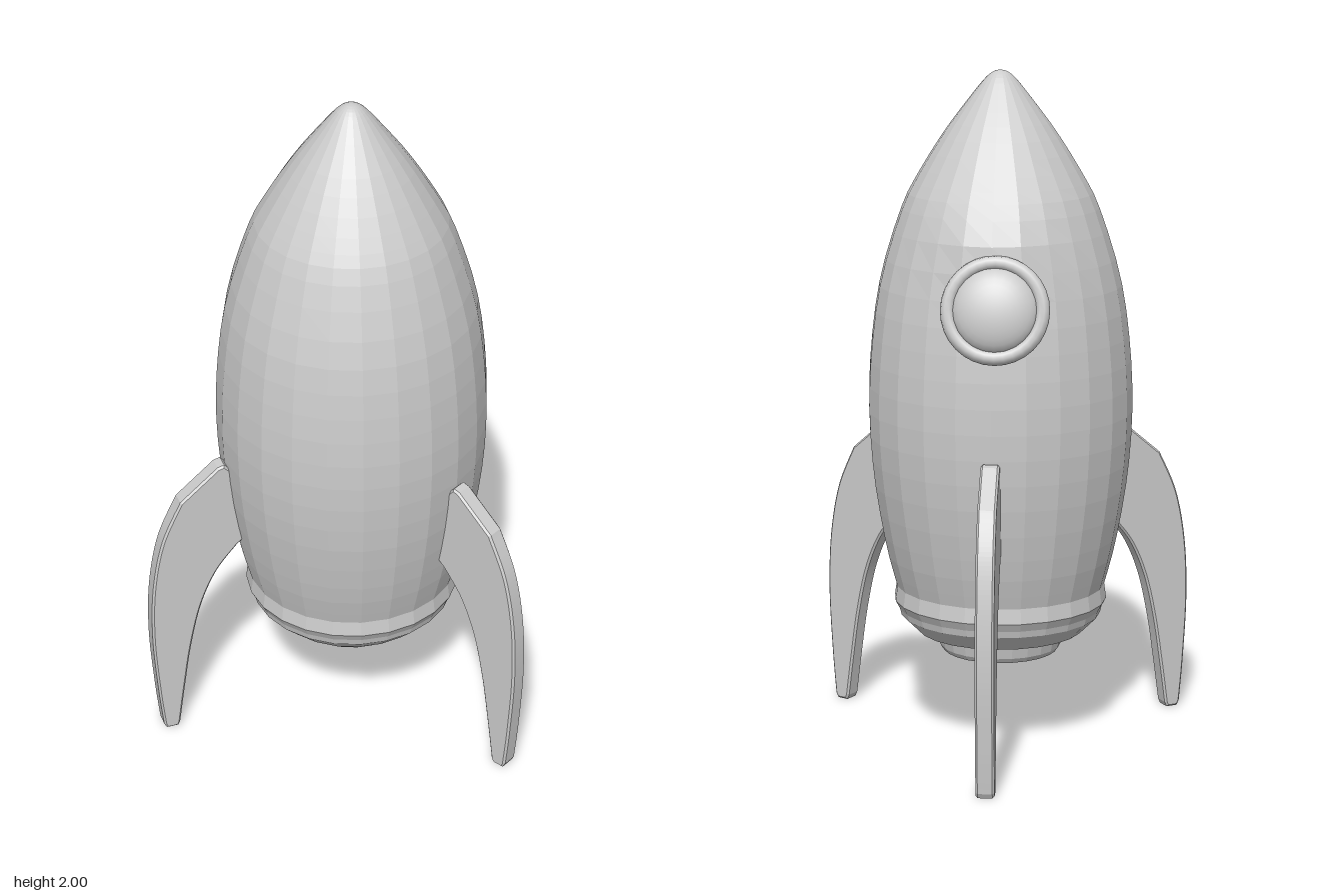
import * as THREE from 'three';

const AXIS_Z = 0.12; // the hull's axis sits forward of the origin
const material = new THREE.MeshStandardMaterial({ color: 0xcccccc, flatShading: true });
const smooth = new THREE.MeshStandardMaterial({ color: 0xcccccc });
const toPoints = (pairs) => pairs.map(([x, y]) => new THREE.Vector2(x, y));

function addMesh(parent, name, geometry, mat = material) {
  const mesh = new THREE.Mesh(geometry, mat);
  mesh.name = name;
  parent.add(mesh);
  return mesh;
}

// Egg-shaped hull with a stepped skirt, swelling a little around the window
function hullGeometry() {
  const skirt = toPoints([[0, 0.33], [0.225, 0.325], [0.25, 0.33], [0.27, 0.35],
    [0.3, 0.38], [0.305, 0.4], [0.318, 0.425]]);
  const curve = new THREE.SplineCurve(toPoints([[0.312, 0.47], [0.345, 0.6], [0.378, 0.8],
    [0.391, 1.0], [0.382, 1.2], [0.352, 1.4], [0.29, 1.6], [0.24, 1.7], [0.165, 1.82],
    [0.09, 1.92], [0.045, 1.975], [0.02, 1.995], [0, 2]]));
  const geometry = new THREE.LatheGeometry([...skirt, ...curve.getPoints(32)], 24);
  const position = geometry.attributes.position;
  const v = new THREE.Vector3();
  for (let i = 0; i < position.count; i++) {
    v.fromBufferAttribute(position, i);
    if (v.z < -0.15) {
      const push = 0.03 * Math.exp(-((v.x / 0.15) ** 2) - ((v.y - 1.52) / 0.09) ** 2);
      position.setZ(i, v.z - push);
    }
  }
  geometry.computeVertexNormals();
  return geometry;
}

// Curved fin: x is the distance from the hull axis, y is height
function finGeometry() {
  const shape = new THREE.Shape();
  shape.moveTo(0.34, 0.65);
  shape.lineTo(0.365, 0.63);
  shape.splineThru(toPoints([[0.43, 0.55], [0.48, 0.44], [0.515, 0.3], [0.54, 0.15], [0.56, 0.015]]));
  shape.lineTo(0.567, 0);
  shape.lineTo(0.602, 0);
  shape.lineTo(0.61, 0.015);
  shape.splineThru(toPoints([[0.622, 0.15], [0.632, 0.35], [0.623, 0.53], [0.59, 0.69], [0.53, 0.82]]));
  shape.lineTo(0.415, 0.915);
  shape.lineTo(0.395, 0.92);
  shape.lineTo(0.34, 0.86);
  const bevel = 0.006;
  const depth = 0.054 - 2 * bevel;
  const geometry = new THREE.ExtrudeGeometry(shape, {
    depth, curveSegments: 10, bevelEnabled: true, bevelSize: bevel,
    bevelThickness: bevel, bevelOffset: -bevel, bevelSegments: 1,
  });
  return geometry.translate(0, 0, -depth / 2);
}

// Round window facing local +z: backing plate, rim and domed glass
function createWindow() {
  const group = new THREE.Group();
  group.name = 'window';
  const plate = new THREE.CylinderGeometry(0.135, 0.14, 0.06, 24).rotateX(Math.PI / 2);
  addMesh(group, 'windowPlate', plate).position.z = -0.03;
  addMesh(group, 'windowRim', new THREE.TorusGeometry(0.134, 0.021, 10, 32), smooth);
  const dome = new THREE.SphereGeometry(0.122, 24, 8, 0, Math.PI * 2, 0, Math.PI / 2);
  dome.rotateX(Math.PI / 2).scale(1, 1, 0.45);
  addMesh(group, 'windowGlass', dome, smooth);
  return group;
}

export function createModel() {
  const model = new THREE.Group();
  model.name = 'rocket';
  const body = new THREE.Group();
  body.name = 'body';
  body.position.z = AXIS_Z;
  model.add(body);

  addMesh(body, 'hull', hullGeometry());

  // Nozzle with a conical hollow
  addMesh(body, 'nozzle', new THREE.LatheGeometry(toPoints([[0, 0.4], [0.145, 0.28],
    [0.155, 0.265], [0.172, 0.265], [0.182, 0.28], [0.188, 0.31], [0.19, 0.335]]), 24));

  // Three fins, one at the back and two splayed to the front
  const fin = finGeometry();
  [['backFin', Math.PI / 2], ['leftFin', -Math.PI / 6], ['rightFin', -5 * Math.PI / 6]]
    .forEach(([name, angle]) => { addMesh(body, name, fin).rotation.y = angle; });

  // Window on the back, tilted to follow the hull
  const porthole = createWindow();
  porthole.position.set(-0.012, 1.36, -0.26 - AXIS_Z);
  porthole.rotation.set(-0.25, Math.PI, 0, 'YXZ');
  body.add(porthole);

  return model;
}
